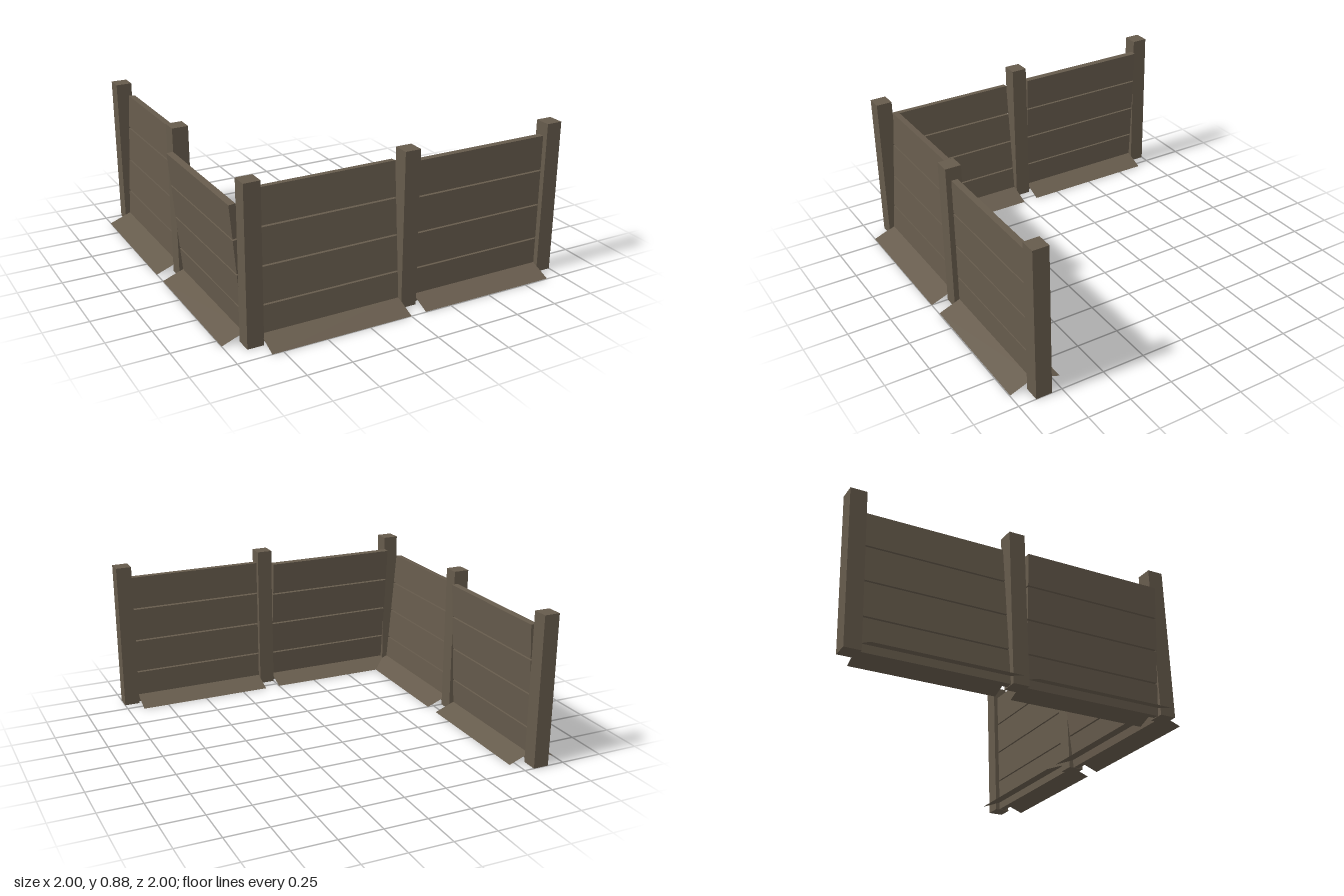
import * as THREE from 'three';

const POST = 0.092, POST_H = 0.885, THICK = 0.037, GAP = 0.009;

export function createModel() {
  const wood = new THREE.MeshStandardMaterial({ color: 0x665b4c });
  wood.name = 'weathered wood';
  const skirtWood = wood.clone();
  skirtWood.name = 'weathered wood skirt';
  skirtWood.side = THREE.DoubleSide;

  const model = new THREE.Group();
  model.name = 'cornerFence';

  // Square posts: a corner post, two along the front run, two along the side run
  const posts = [[-0.854, 0.854], [0.046, 0.854], [0.954, 0.854], [-0.854, -0.046], [-0.854, -0.954]];
  for (const [x, z] of posts) {
    const post = new THREE.Mesh(new THREE.BoxGeometry(POST, POST_H, POST), wood);
    post.name = 'post';
    post.position.set(x, POST_H / 2, z);
    model.add(post);
  }

  // One bay: four leaning planks and a low tent-shaped ground skirt
  function addPanel(name, x, z, turn, height, lean, length = 0.813) {
    const panel = new THREE.Group();
    panel.name = name;
    panel.position.set(x, 0, z);
    panel.rotation.y = turn;

    const boards = new THREE.Group();
    boards.name = 'boards';
    boards.rotation.x = lean;
    const pitch = (height + GAP) / 4;
    for (let i = 0; i < 4; i++) {
      const low = i === 0 ? 0.003 : i * pitch;
      const high = (i + 1) * pitch - GAP;
      const plank = new THREE.Mesh(new THREE.BoxGeometry(length, high - low, THICK), wood);
      plank.name = 'plank';
      plank.position.y = (low + high) / 2;
      boards.add(plank);
    }
    panel.add(boards);

    // Open sloping sheets on both faces of the boards
    const half = 0.145, rise = 0.056;
    for (const s of [1, -1]) {
      const sheet = new THREE.PlaneGeometry(length, Math.hypot(half, rise));
      sheet.rotateX(-Math.PI / 2);
      sheet.rotateX(s * Math.atan2(rise, half));
      const skirt = new THREE.Mesh(sheet, skirtWood);
      skirt.name = 'groundSkirt';
      skirt.position.set(0, rise / 2, s * half / 2);
      panel.add(skirt);
    }
    model.add(panel);
  }

  const side = Math.PI / 2;
  addPanel('frontPanelRight', -0.405, 0.855, 0, 0.81, -0.086);
  addPanel('frontPanelLeft', 0.5, 0.852, 0, 0.81, 0);
  addPanel('sidePanelFront', -0.855, 0.405, side, 0.755, -0.086);
  addPanel('sidePanelBack', -0.857, -0.5, side, 0.81, 0.058);

  return model;
}
